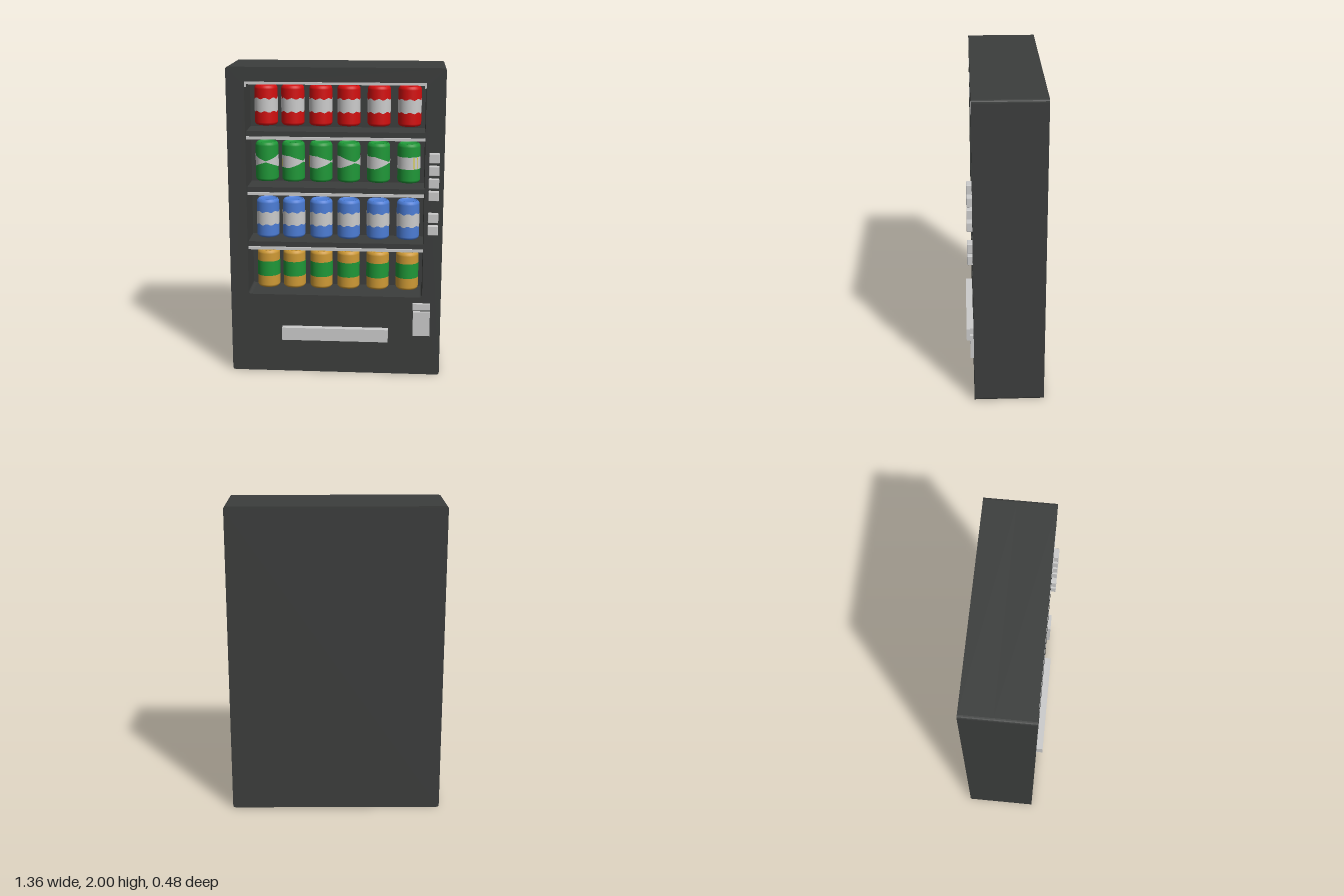
import * as THREE from 'three';
import { RoundedBoxGeometry } from 'three/addons/geometries/RoundedBoxGeometry.js';

const mat = (color, side = THREE.FrontSide) => new THREE.MeshStandardMaterial({ color, side });
const DARK = mat(0x3c3e3d), GREY = mat(0xcccccc);
const WIN = { x0: -0.565, x1: 0.56, y0: 0.53, y1: 1.9 };
const BACK = -0.04; // rear wall of the display recess

function add(parent, name, geometry, material, x = 0, y = 0, z = 0) {
  const mesh = new THREE.Mesh(geometry, material);
  mesh.name = name;
  mesh.position.set(x, y, z);
  parent.add(mesh);
  return mesh;
}

// Box given by its limits, with optional rounded edges
function block(parent, name, material, [x0, x1], [y0, y1], [z0, z1], r = 0) {
  const size = [x1 - x0, y1 - y0, z1 - z0];
  const geometry = r ? new RoundedBoxGeometry(...size, 2, r) : new THREE.BoxGeometry(...size);
  return add(parent, name, geometry, material, (x0 + x1) / 2, (y0 + y1) / 2, (z0 + z1) / 2);
}

function roundedRect(path, x0, x1, y0, y1, r) {
  path.moveTo(x0 + r, y0);
  path.lineTo(x1 - r, y0).quadraticCurveTo(x1, y0, x1, y0 + r);
  path.lineTo(x1, y1 - r).quadraticCurveTo(x1, y1, x1 - r, y1);
  path.lineTo(x0 + r, y1).quadraticCurveTo(x0, y1, x0, y1 - r);
  path.lineTo(x0, y0 + r).quadraticCurveTo(x0, y0, x0 + r, y0);
  return path;
}

// Can body: tapered ends, rim and sunken lid
const R = 0.073, H = 0.252;
const canGeometry = new THREE.LatheGeometry([
  [0, 0.012], [0.05, 0.012], [0.058, 0], [0.064, 0.002], [0.071, 0.01], [R, 0.018],
  [R, H - 0.022], [0.071, H - 0.012], [0.064, H - 0.003], [0.061, H], [0.057, H], [0.055, H - 0.01], [0, H - 0.01],
].map(([x, y]) => new THREE.Vector2(x, y)), 32);

// Label sleeve whose upper and lower edges follow half(angle)
function sleeve(half, radius = R + 0.001, start = 0, length = Math.PI * 2) {
  const g = new THREE.CylinderGeometry(radius, radius, 1, 64, 1, true, start, length);
  const p = g.attributes.position;
  for (let i = 0; i < p.count; i++) {
    const [up, down] = half(Math.atan2(p.getX(i), p.getZ(i)));
    p.setY(i, p.getY(i) > 0 ? up : -down);
  }
  return g;
}

// Label edge rules (angle 0 faces the front)
const wavy = (a) => {
  const w = 0.005 * Math.cos(a * 8);
  return [0.041 + w, 0.043 - w];
};
const plain = () => [0.049, 0.049];
const pinched = (a) => {
  const h = 0.003 + 0.036 * Math.min(1, Math.abs(a) / 1.35);
  return [h, h];
};

const ROWS = [
  { y: 1.622, color: 0xd40f0f, label: 0xcccccc, rule: wavy },
  { y: 1.26, color: 0x1f9838, label: 0xcccccc, rule: pinched, turns: [0, 1.1, 1.1, 0.6, 1.1, 3.1] },
  { y: 0.886, color: 0x4c7dd6, label: 0xcccccc, rule: wavy },
  { y: 0.546, color: 0xcf9a35, label: 0x1f9838, rule: plain },
];
const COLUMNS = [-0.45, -0.28, -0.102, 0.076, 0.267, 0.46];

export function createModel() {
  const model = new THREE.Group();
  model.name = 'vendingMachine';

  // Cabinet: front frame with window opening, closed by a rear block
  const frame = roundedRect(new THREE.Shape(), -0.68, 0.68, 0, 2, 0.018);
  frame.holes.push(roundedRect(new THREE.Path(), WIN.x0, WIN.x1, WIN.y0, WIN.y1, 0.02));
  add(model, 'cabinetFrame', new THREE.ExtrudeGeometry(frame, { depth: 0.2 - BACK, bevelEnabled: false, curveSegments: 4 }), DARK, 0, 0, BACK);
  const rear = roundedRect(new THREE.Shape(), -0.68, 0.68, 0, 2, 0.018);
  add(model, 'cabinetBack', new THREE.ExtrudeGeometry(rear, { depth: BACK + 0.24, bevelEnabled: false, curveSegments: 4 }), DARK, 0, 0, -0.24);

  // Light bar along the top of the window, with bent-down ends
  const light = new THREE.Group();
  light.name = 'lightBar';
  model.add(light);
  block(light, 'lightTube', GREY, [WIN.x0, WIN.x1], [1.893, 1.909], [0.18, 0.202]);
  for (const x of [WIN.x0, WIN.x1 - 0.01]) block(light, 'lightEnd', GREY, [x, x + 0.01], [1.875, 1.893], [0.18, 0.202]);

  // Shelves with pale front strips
  for (const y of [1.545, 1.185, 0.825]) {
    block(model, 'shelf', DARK, [WIN.x0, WIN.x1], [y, y + 0.048], [BACK, 0.155]);
    block(model, 'shelfStrip', GREY, [WIN.x0, WIN.x1], [y - 0.003, y + 0.015], [0.15, 0.167]);
  }

  // Rows of cans
  for (const { y, color, label, rule, turns } of ROWS) {
    const canMat = mat(color), labelMat = mat(label, THREE.DoubleSide), stripeMat = mat(0xd8cc20, THREE.DoubleSide);
    const labelGeometry = sleeve(rule);
    COLUMNS.forEach((x, i) => {
      const can = new THREE.Group();
      can.name = 'can';
      can.position.set(x, y, 0.045);
      if (turns) can.rotation.y = turns[i];
      model.add(can);
      add(can, 'canBody', canGeometry, canMat);
      add(can, 'canLabel', labelGeometry, labelMat, 0, H / 2 + 0.004);
      // Thin stripes on the wide part of the pinched label
      if (turns) for (const a of [-2.7, -2.35]) {
        add(can, 'canStripe', sleeve(() => [0.036, 0.036], R + 0.002, a, 0.08), stripeMat, 0, H / 2 + 0.004);
      }
    });
  }

  // Selection buttons
  for (const y of [1.447, 1.367, 1.287, 1.207, 1.065, 0.985]) {
    block(model, 'button', GREY, [0.585, 0.65], [y - 0.03, y + 0.03], [0.19, 0.233], 0.004);
  }

  // Coin slot, coin return and dispensing flap
  block(model, 'coinSlot', GREY, [0.5, 0.612], [0.45, 0.492], [0.19, 0.222]);
  block(model, 'coinReturn', GREY, [0.503, 0.612], [0.275, 0.437], [0.19, 0.222]);
  block(model, 'dispensingFlap', GREY, [-0.345, 0.343], [0.233, 0.317], [0.19, 0.244]);

  return model;
}
